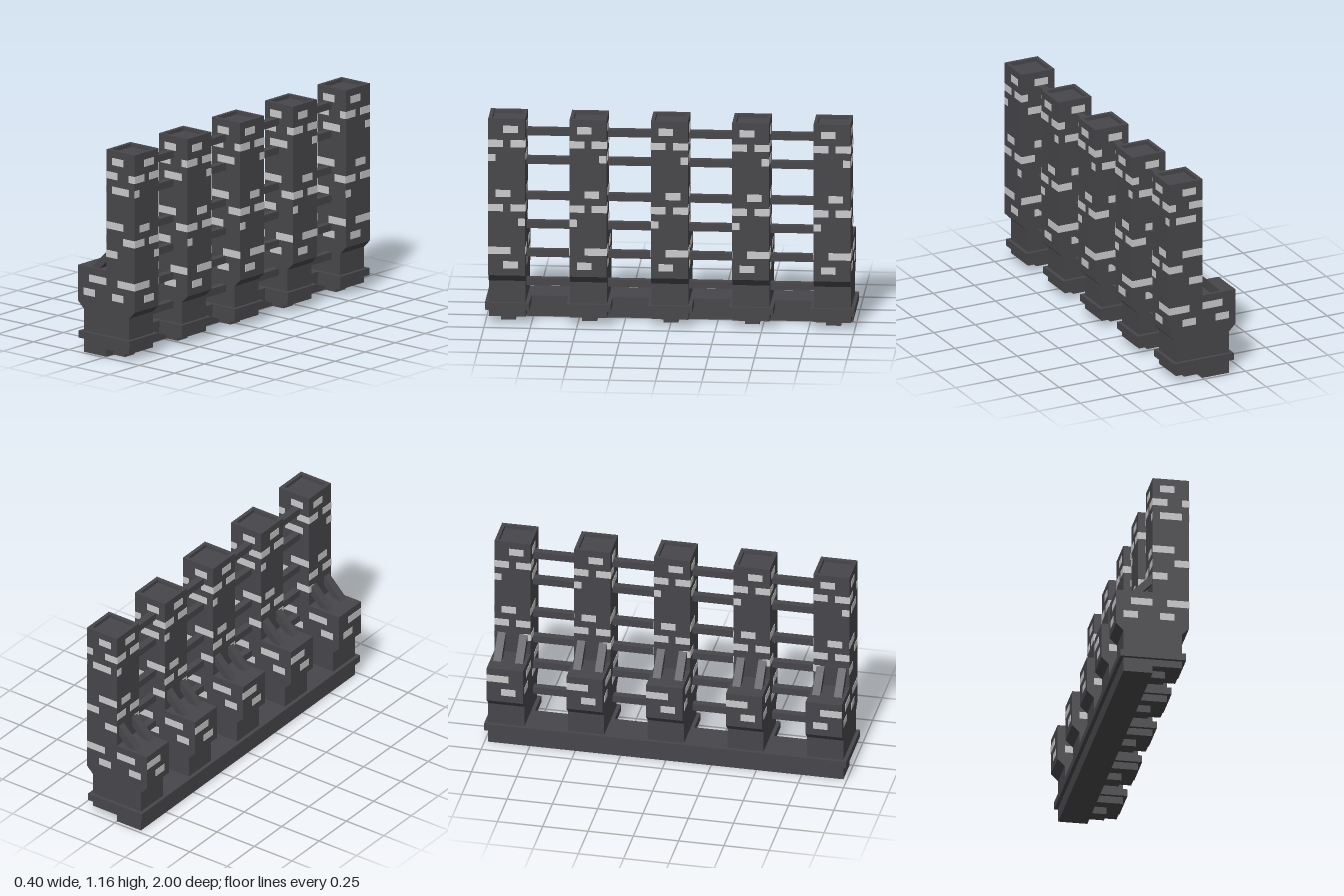
import * as THREE from 'three';

const body = new THREE.MeshStandardMaterial({ color: 0x47464a });
body.name = 'charcoal';
const glow = new THREE.MeshStandardMaterial({ color: 0xcacaca });
glow.name = 'pale window';

// Box given by its limits on each axis
function box(parent, name, mat, x0, x1, y0, y1, z0, z1) {
  const mesh = new THREE.Mesh(new THREE.BoxGeometry(x1 - x0, y1 - y0, z1 - z0), mat);
  mesh.position.set((x0 + x1) / 2, (y0 + y1) / 2, (z0 + z1) / 2);
  mesh.name = name;
  parent.add(mesh);
  return mesh;
}

function shapeOf(points) {
  return new THREE.Shape(points.map(([x, y]) => new THREE.Vector2(x, y)));
}

// Windows as [from, to, bottom]; each is 0.04 tall
const towerX = [[0.04, 0.12, 1.08], [0, 0.08, 1], [0.16, 0.2, 1], [0.04, 0.16, 0.92], [0, 0.12, 0.72],
  [0.12, 0.2, 0.64], [0, 0.08, 0.56], [0.08, 0.2, 0.4], [0.04, 0.12, 0.32],
  [-0.12, 0, 0.4], [-0.16, -0.08, 0.32]];
const towerZ = [[-0.02, 0.06, 1.08], [0.02, 0.1, 1], [-0.1, -0.02, 1], [-0.1, -0.06, 0.92], [-0.06, 0.02, 0.72],
  [0.02, 0.1, 0.64], [-0.1, -0.02, 0.64], [0.06, 0.1, 0.56], [-0.1, 0.02, 0.4], [-0.02, 0.06, 0.32]];

function makeTower(flip) {
  const tower = new THREE.Group();
  tower.name = 'tower';

  // Body with stepped top and chamfered overhang
  const profile = shapeOf([[-0.16, 0.12], [0.16, 0.12], [0.16, 0.24], [0.2, 0.28], [0.2, 1.14],
    [0, 1.14], [0, 0.48], [-0.2, 0.48], [-0.2, 0.28], [-0.16, 0.24]]);
  const geo = new THREE.ExtrudeGeometry(profile, { depth: 0.2, bevelEnabled: false });
  geo.translate(0, 0, -0.1);
  const shell = new THREE.Mesh(geo, body);
  shell.name = 'towerBody';
  tower.add(shell);

  // Raised rim round the roof
  const ring = shapeOf([[0, -0.1], [0.2, -0.1], [0.2, 0.1], [0, 0.1]]);
  ring.holes.push(new THREE.Path([[0.02, -0.08], [0.02, 0.08], [0.18, 0.08], [0.18, -0.08]]
    .map(([x, y]) => new THREE.Vector2(x, y))));
  const rimGeo = new THREE.ExtrudeGeometry(ring, { depth: 0.02, bevelEnabled: false });
  rimGeo.rotateX(-Math.PI / 2);
  const rim = new THREE.Mesh(rimGeo, body);
  rim.position.y = 1.14;
  rim.name = 'roofRim';
  tower.add(rim);

  // Sloping braces from annex roof to tower
  const brace = shapeOf([[-0.117, 0.48], [-0.06, 0.48], [0, 0.54], [0, 0.597]]);
  for (const z of [-0.06, 0.06]) {
    const braceGeo = new THREE.ExtrudeGeometry(brace, { depth: 0.044, bevelEnabled: false });
    const mesh = new THREE.Mesh(braceGeo, body);
    mesh.position.z = z - 0.022;
    mesh.name = 'brace';
    tower.add(mesh);
  }

  // Foundation steps under the tower
  box(tower, 'footSlab', body, 0.02, 0.18, 0.08, 0.12, -0.12, 0.12);
  box(tower, 'footStep', body, 0, 0.16, 0.04, 0.08, -0.1, 0.1);
  box(tower, 'footPeg', body, 0, 0.08, 0, 0.04, -0.04, 0.04);

  // Windows on the front and back
  const t = 0.002;
  for (const [a, b, y] of towerX) {
    for (const z of [-0.1, 0.1]) box(tower, 'window', glow, a, b, y, y + 0.04, z - t, z + t);
  }
  // Windows on the sides; the lowest two rows sit on the annex
  for (const [a, b, y] of towerZ) {
    const z0 = flip ? -b : a;
    const z1 = flip ? -a : b;
    const inner = y < 0.48 ? -0.2 : 0;
    for (const x of [inner, 0.2]) box(tower, 'window', glow, x - t, x + t, y, y + 0.04, z0, z1);
  }
  return tower;
}

export function createModel() {
  const model = new THREE.Group();
  model.name = 'towerRow';

  // Continuous base wall and its ledge
  box(model, 'baseWall', body, -0.16, 0, 0, 0.08, -0.98, 0.98);
  box(model, 'baseLedge', body, -0.18, 0.02, 0.08, 0.12, -1, 1);

  for (let i = 0; i < 5; i++) {
    const z = 0.88 - i * 0.44;
    const tower = makeTower(i === 0);
    tower.position.z = z;
    model.add(tower);

    // Beams to the next tower
    if (i < 4) {
      for (const y of [0.22, 0.38, 0.54, 0.7, 0.9, 1.06]) {
        box(model, 'beam', body, 0.06, 0.1, y - 0.02, y + 0.02, z - 0.34, z - 0.1);
      }
    }
  }
  return model;
}
